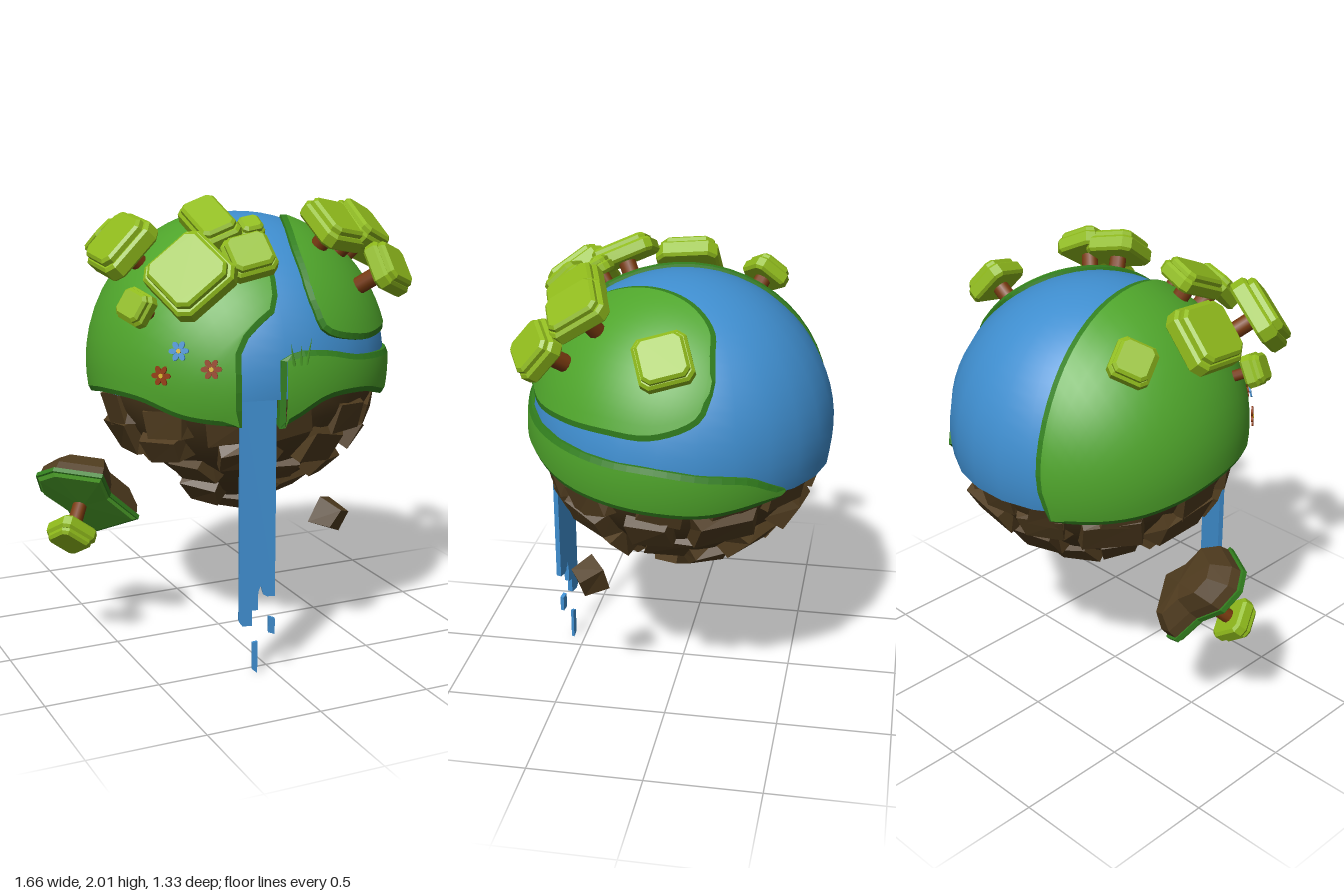
import * as THREE from 'three';

const V = (x, y, z) => new THREE.Vector3(x, y, z);
const mat = (name, color) => Object.assign(new THREE.MeshStandardMaterial({ color }), { name });
const CENTER = V(0.095, 1.255, -0.015);
const UP = V(0, 1, 0), FRONT = V(0, 0, 1);

export function createModel() {
  const model = new THREE.Group();
  model.name = 'floatingPlanet';
  const M = {
    water: mat('water blue', 0x3f8ecf), land: mat('grass green', 0x4fa52b),
    rim: mat('edge green', 0x327f1e), core: mat('dark rock', 0x48361b),
    rock: mat('rock brown', 0x503c1f), leaf: mat('leaf green', 0x90bb1c),
    trunk: mat('bark brown', 0x783a0f), petal: mat('petal red', 0x933b10),
    pollen: mat('pollen yellow', 0xd8b52a),
  };
  let seed = 7;
  const rand = (a = 0, b = 1) => {
    seed = (seed * 16807) % 2147483647;
    return a + (b - a) * seed / 2147483647;
  };
  const add = (parent, name, geo, material) => {
    const mesh = new THREE.Mesh(geo, material);
    mesh.name = name;
    parent.add(mesh);
    return mesh;
  };
  const group = (parent, name) => {
    const g = new THREE.Group();
    g.name = name;
    parent.add(g);
    return g;
  };
  const flat = (g) => {
    const f = g.toNonIndexed();
    f.computeVertexNormals();
    return f;
  };
  // surface through rows of points
  const sheet = (rows) => {
    const n = rows[0].length, idx = [];
    for (let j = 0; j < rows.length - 1; j++)
      for (let i = 0; i < n - 1; i++) {
        const a = j * n + i, d = a + n;
        idx.push(a, a + 1, d + 1, a, d + 1, d);
      }
    const g = new THREE.BufferGeometry().setFromPoints(rows.flat());
    g.setIndex(idx);
    g.computeVertexNormals();
    return g;
  };

  const globe = group(model, 'globe');
  globe.position.copy(CENTER);

  // water dome, cut a little lower at the back
  const water = add(globe, 'water',
    new THREE.SphereGeometry(0.652, 26, 18, 0, Math.PI * 2, 0, Math.acos(-0.09 / 0.652)), M.water);
  water.rotation.x = -0.07;

  // land patches: lofted between two rails on the sphere, with a bevelled rim
  const rail = (pts) => new THREE.CatmullRomCurve3(pts.map((p) => V(...p)))
    .getSpacedPoints(32).map((p) => p.normalize());
  const landPatch = (name, ptsA, ptsB) => {
    const A = rail(ptsA), B = rail(ptsB), n = A.length;
    const loop = [...A, ...B.slice().reverse()], L = loop.length;
    const inset = loop.map((p, i) => {
      const t = loop[(i + 1) % L].clone().sub(loop[(i + L - 1) % L]);
      const width = Math.min(0.036, 0.3 * p.distanceTo(loop[L - 1 - i]));
      return p.clone().addScaledVector(p.clone().cross(t).normalize(), width).normalize();
    });
    const rows = [];
    for (let j = 0; j <= 12; j++)
      rows.push(inset.slice(0, n).map((p, i) =>
        p.clone().lerp(inset[L - 1 - i], j / 12).setLength(0.672)));
    const g = group(globe, name);
    add(g, 'grassTop', sheet(rows), M.land);
    const ring = (pts, r) => [...pts, pts[0]].map((p) => p.clone().setLength(r));
    add(g, 'grassRim', flat(sheet([ring(loop, 0.61), ring(loop, 0.664), ring(inset, 0.672)])), M.rim);
  };
  landPatch('rightLand',
    [[-.245, -.155, .58], [-.255, .045, .596], [-.245, .165, .58], [-.175, .245, .577],
      [-.095, .305, .566], [-.06, .425, .49], [-.055, .545, .35], [-.095, .606, .215],
      [-.175, .598, -.185], [-.225, .427, -.435], [-.265, 0, -.595], [-.3, -.17, -.565]],
    [[-.28, -.15, .57], [-.445, -.13, .457], [-.575, -.075, .3], [-.645, -.08, .06],
      [-.62, -.12, -.15], [-.55, -.15, -.3], [-.34, -.17, -.54]]);
  landPatch('frontLand',
    [[-.1, -.165, .62], [-.015, -.12, .635], [.105, -.06, .638], [.305, -.06, .57],
      [.48, -.115, .415], [.59, -.145, .215], [.63, -.165, .015], [.6, -.175, -.185],
      [.54, -.155, -.335], [.435, -.13, -.465]],
    [[-.1, .115, .633], [-.03, .145, .633], [.105, .14, .626], [.255, .105, .588],
      [.405, .085, .5], [.61, .055, .215], [.645, .045, .015], [.62, .015, -.185],
      [.545, -.015, -.355], [.42, -.105, -.485]]);
  landPatch('leftLand',
    [[.065, .33, .555], [.105, .215, .605], [.305, .155, .553], [.48, .15, .4],
      [.594, .155, .215], [.63, .155, .015], [.588, .225, -.165], [.53, .32, -.205]],
    [[.06, .39, .515], [.075, .53, .365], [.155, .62, .115], [.255, .59, -.085],
      [.355, .51, -.185], [.436, .445, -.2], [.5, .36, -.21]]);

  // rocky underside
  const underside = group(model, 'underside');
  underside.position.set(CENTER.x, 0, CENTER.z);
  const profile = [[0, .61], [.1, .63], [.24, .71], [.36, .81], [.47, .91], [.545, 1.01],
    [.592, 1.1], [.614, 1.17], [.62, 1.24]].map((p) => new THREE.Vector2(...p));
  add(underside, 'rockCore', new THREE.LatheGeometry(profile, 26), M.core);
  const boulderGeo = (w, h, d) => {
    const g = new THREE.BoxGeometry(w, h, d), p = g.attributes.position;
    const skew = Array.from({ length: 8 }, () => [rand(.72, 1.12), rand(.72, 1.12), rand(.8, 1.1)]);
    for (let i = 0; i < p.count; i++) {
      const s = skew[(p.getX(i) > 0) * 4 + (p.getY(i) > 0) * 2 + (p.getZ(i) > 0)];
      const taper = p.getZ(i) > 0 ? 0.88 : 1.1;
      p.setXYZ(i, p.getX(i) * s[0] * taper, p.getY(i) * s[1] * taper, p.getZ(i) * s[2]);
    }
    return flat(g);
  };
  // rows: height, radius, count, size, downward tilt
  [[1.1, .545, 12, .21, -.3], [.98, .505, 10, .22, -.6], [.85, .385, 7, .22, -.9],
    [.74, .255, 4, .18, -1.1], [.645, .09, 2, .15, -2]].forEach(([y, r, n, s, tilt], row) => {
    for (let i = 0; i < n; i++) {
      const a = (i + row * 0.4 + rand(-.2, .2)) / n * Math.PI * 2;
      const b = add(underside, 'boulder',
        boulderGeo(s * rand(.9, 1.35), s * rand(.6, .9), .105), M.rock);
      b.position.set(Math.sin(a) * r, y + rand(-.03, .02), Math.cos(a) * r);
      b.lookAt(b.position.clone().add(V(Math.sin(a), tilt, Math.cos(a))));
      b.rotateZ(rand(-.3, .3));
      b.rotateX(rand(-.1, .1));
    }
  });

  // waterfall with stepped lower end and loose drops, turned to follow the globe
  const fall = group(model, 'waterfall');
  fall.position.set(-.085, 0, .576);
  fall.rotation.y = -.29;
  const slab = (name, pts, depth, z) => {
    const shape = new THREE.Shape(pts.map((p) => new THREE.Vector2(...p)));
    add(fall, name, new THREE.ExtrudeGeometry(shape, { depth, bevelEnabled: false }), M.water)
      .position.z = z;
  };
  slab('waterSheet', [[-.076, 1.3], [-.076, .25], [-.062, .23], [-.021, .23], [-.021, .3], [.005, .3],
    [.005, .38], [.016, .41], [.026, .37], [.042, .36], [.076, .36], [.076, 1.3]], .024, -.008);
  slab('upperDrop', [[.052, .26], [.052, .19], [.08, .18], [.08, .25]], .018, -.02);
  slab('lowerDrop', [[-.015, .14], [-.015, .02], [.008, 0], [.008, .145]], .014, -.028);

  // chamfered slab used for the stacked foliage, rising along y
  const leafSlab = (w, d, h) => {
    const b = 0.012, x = w / 2 - b, y = d / 2 - b, c = Math.min(w, d) * 0.11;
    const s = new THREE.Shape([[x - c, -y], [x, c - y], [x, y - c], [x - c, y],
      [c - x, y], [-x, y - c], [-x, c - y], [c - x, -y]].map((p) => new THREE.Vector2(...p)));
    return new THREE.ExtrudeGeometry(s, {
      depth: Math.max(h - 2 * b, .004), bevelSize: b, bevelThickness: b, bevelSegments: 1,
    }).rotateX(-Math.PI / 2).translate(0, b, 0);
  };
  const tree = (parent, w, d, height, radius) => {
    const g = group(parent, 'tree');
    const thick = 0.055 + 0.2 * Math.min(w, d), base = height - thick / 2;
    add(g, 'trunk', new THREE.CylinderGeometry(radius, radius, base + .05, 10), M.trunk)
      .position.y = base / 2;
    add(g, 'lowerFoliage', leafSlab(w, d, thick * .7), M.leaf).position.y = base;
    add(g, 'upperFoliage', leafSlab(w * .87, d * .87, thick * .5), M.leaf).position.y = base + thick * .5;
    return g;
  };
  // foliage centre, width, depth, turn
  const trees = group(globe, 'trees');
  [[-.365, 1.73, .53, .3, .3, .15], [-.475, 1.8, .05, .28, .28, 0], [-.515, 1.58, .325, .14, .15, .2],
    [-.175, 1.905, .295, .175, .29, 0], [-.105, 1.79, .53, .2, .19, -.05], [-.025, 1.88, .37, .105, .105, 0],
    [-.415, 1.78, -.31, .175, .175, .5], [.36, 1.88, .385, .23, .25, .25], [.515, 1.86, .345, .21, .26, .2],
    [.56, 1.7, .505, .21, .21, .3], [.73, 1.745, -.045, .21, .22, .35],
  ].forEach(([x, y, z, w, d, turn]) => {
    const dir = V(x, y, z).sub(CENTER), r = dir.length();
    dir.normalize();
    const t = tree(trees, w, d, r - .64, w > .15 ? .038 : .025);
    t.position.copy(dir).multiplyScalar(.64);
    t.quaternion.setFromUnitVectors(UP, dir);
    t.rotateY(turn);
  });

  // flowers on the right land
  [[-.44, 1.305, M.petal], [-.28, 1.345, M.petal], [-.38, 1.41, M.water]].forEach(([x, y, m]) => {
    const dx = x - CENTER.x, dy = y - CENTER.y;
    const f = group(globe, 'flower');
    f.position.set(dx, dy, Math.sqrt(.684 ** 2 - dx * dx - dy * dy));
    f.quaternion.setFromUnitVectors(FRONT, f.position.clone().normalize());
    for (let i = 0; i < 6; i++) {
      const a = i * Math.PI / 3, p = add(f, 'petal',
        new THREE.CylinderGeometry(.014, .014, .008, 8).rotateX(Math.PI / 2).scale(1.3, .85, 1), m);
      p.position.set(Math.cos(a) * .026, Math.sin(a) * .026, 0);
      p.rotation.z = a;
    }
    add(f, 'flowerCentre', new THREE.CylinderGeometry(.01, .01, .012, 8).rotateX(Math.PI / 2), M.pollen);
  });

  // grass tuft beside the waterfall
  [[.045, .25, .1], [.075, .08, .09], [.1, -.12, .12]].forEach(([x, lean, h]) => {
    const blade = add(model, 'grassBlade', new THREE.ConeGeometry(.008, h, 4).translate(0, h / 2, 0), M.land);
    blade.position.set(x, 1.35, .645);
    blade.rotation.set(.15, 0, lean);
  });

  // small tilted island with a wavy outline and its own tree
  const island = group(model, 'smallIsland');
  const along = V(.8, -.6, 0), normal = V(-.48, -.64, .6).normalize();
  island.quaternion.setFromRotationMatrix(
    new THREE.Matrix4().makeBasis(along, normal, along.clone().cross(normal)));
  island.position.set(-.62, .655, -.07);
  const outline = [[-.255, .017], [-.169, .097], [-.013, .11], [.109, .187], [.183, .157],
    [.221, -.12], [.031, -.153], [-.083, -.24], [-.239, -.087], [-.255, .017]];
  // layers: height and scale of the outline
  const crust = (...layers) => flat(sheet(layers.map(([y, s]) =>
    outline.map(([u, w]) => V(u * s, y, w * s)))));
  add(island, 'islandGrass', crust([.006, .97], [.018, .9], [.022, 0]), M.land);
  add(island, 'islandRim', crust([-.018, .9], [-.015, 1], [.006, 1], [.008, .94]), M.rim);
  add(island, 'islandRock', crust([-.15, 0], [-.135, .7], [-.06, .92], [-.012, .95]), M.rock);
  const islandTree = tree(island, .18, .17, .165, .032);
  islandTree.position.set(-.01, .01, .01);

  // loose floating stone
  const stone = add(model, 'floatingStone', boulderGeo(.12, .11, .11), M.rock);
  stone.position.set(.375, .59, .355);
  stone.rotation.set(.4, .5, -.5);

  return model;
}
